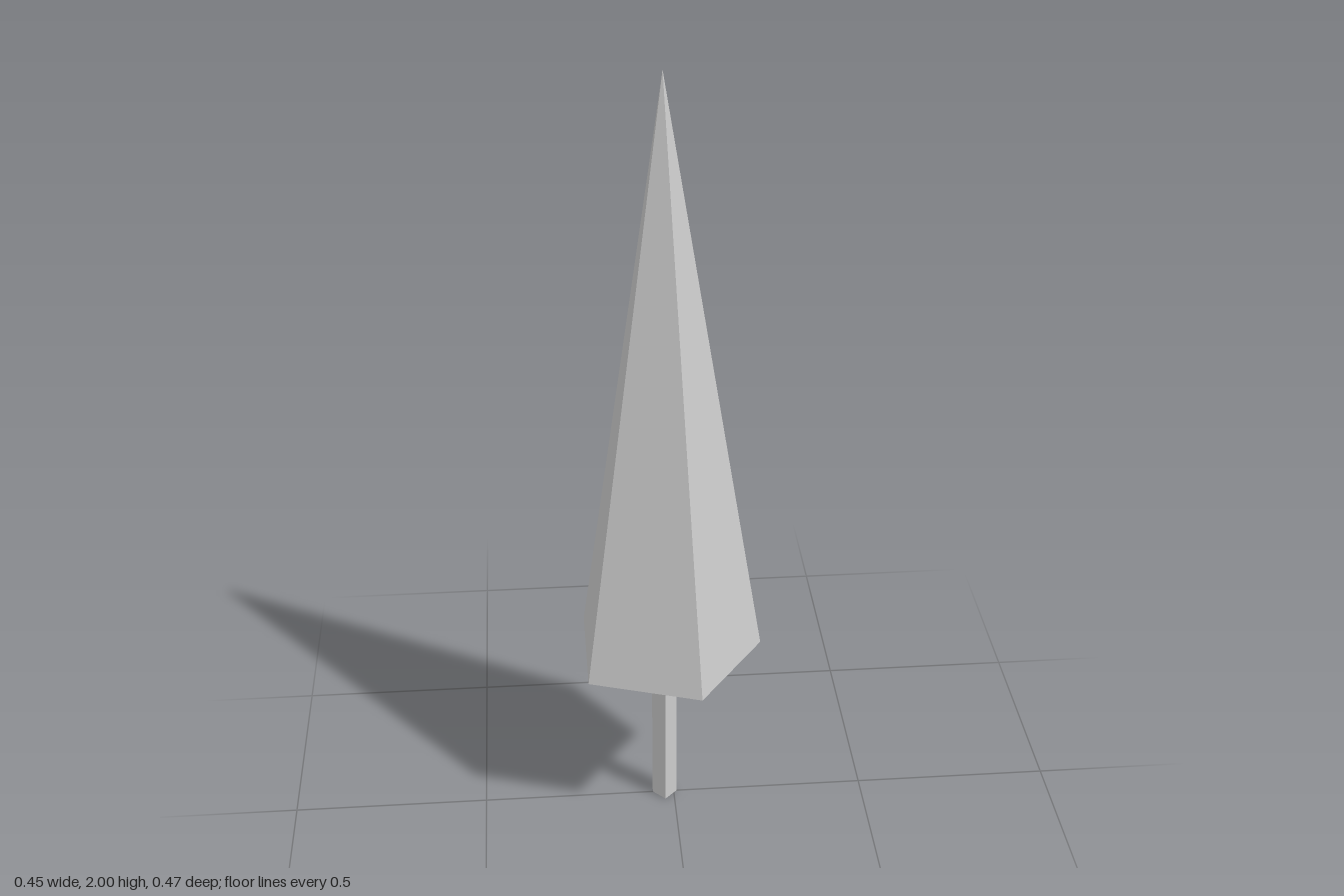
import * as THREE from 'three';

const AXIS_X = -0.024; // shared axis of trunk and crown
const CROWN_BASE = 0.475;

export function createModel() {
  const model = new THREE.Group();
  model.name = 'tree';
  const material = new THREE.MeshStandardMaterial({ color: 0xcccccc, flatShading: true });

  const addPart = (name, geometry, bottom, height) => {
    const mesh = new THREE.Mesh(geometry, material);
    mesh.name = name;
    mesh.position.set(AXIS_X, bottom + height / 2, 0);
    model.add(mesh);
    return mesh;
  };

  // Square trunk, corners facing the axes
  addPart('trunk', new THREE.CylinderGeometry(0.032, 0.032, CROWN_BASE, 4), 0, CROWN_BASE);

  // Five-sided crown, one corner pointing to +x
  const crownHeight = 2 - CROWN_BASE;
  const crown = addPart('crown', new THREE.ConeGeometry(0.247, crownHeight, 5), CROWN_BASE, crownHeight);
  crown.rotation.y = Math.PI / 2;

  return model;
}
